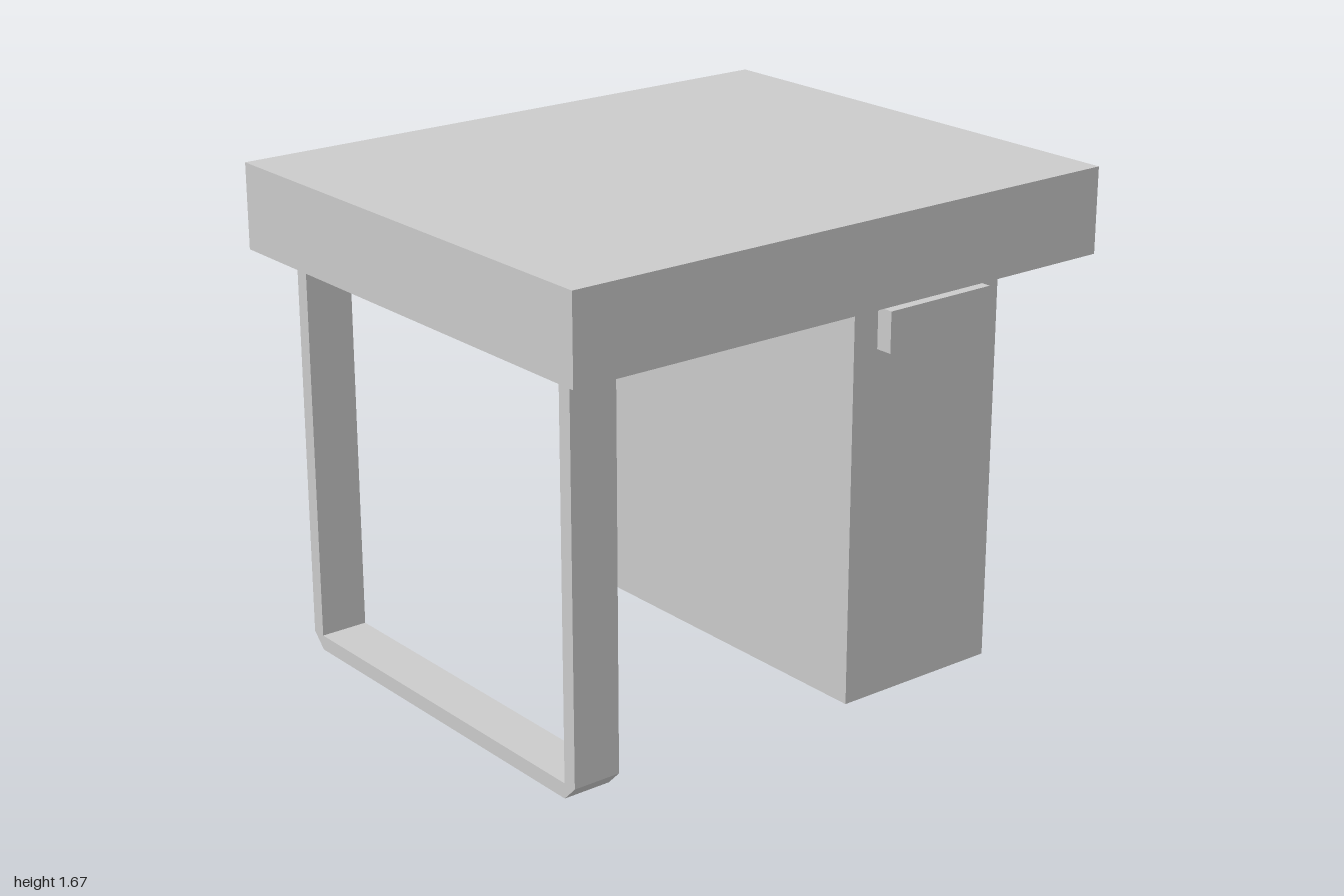
import * as THREE from 'three';

export function createModel() {
  const group = new THREE.Group();
  const material = new THREE.MeshStandardMaterial({ color: 0xcccccc, flatShading: true });

  const add = (name, geometry) => {
    const mesh = new THREE.Mesh(geometry, material);
    mesh.name = name;
    group.add(mesh);
    return mesh;
  };

  // Box given by its minimum and maximum corners
  const box = (name, [x0, y0, z0], [x1, y1, z1]) =>
    add(name, new THREE.BoxGeometry(x1 - x0, y1 - y0, z1 - z0))
      .position.set((x0 + x1) / 2, (y0 + y1) / 2, (z0 + z1) / 2);

  const under = 1.39, back = -0.833, front = 0.592;

  box('desktop', [-1, under, back], [1, 1.667, 0.833]);
  box('cabinet', [0.23, 0, back], [0.83, under, front]);
  box('drawerHandle', [0.325, 1.16, front], [0.738, 1.294, 0.65]);

  // Loop leg: side outline with chamfered lower corners and a rectangular opening
  const t = 0.05;
  const points = (list) => list.map(([z, y]) => new THREE.Vector2(-z, y));
  const outline = new THREE.Shape(points([
    [front, under], [front, t], [front - t, 0],
    [back + t, 0], [back, t], [back, under],
  ]));
  outline.holes.push(new THREE.Path(points([
    [front - t, under - t], [back + t, under - t], [back + t, t], [front - t, t],
  ])));
  const legGeometry = new THREE.ExtrudeGeometry(outline, { depth: 0.163, bevelEnabled: false });
  legGeometry.rotateY(Math.PI / 2); // outline x runs to -z, depth runs to +x
  add('loopLeg', legGeometry).position.x = -0.834;

  return group;
}
